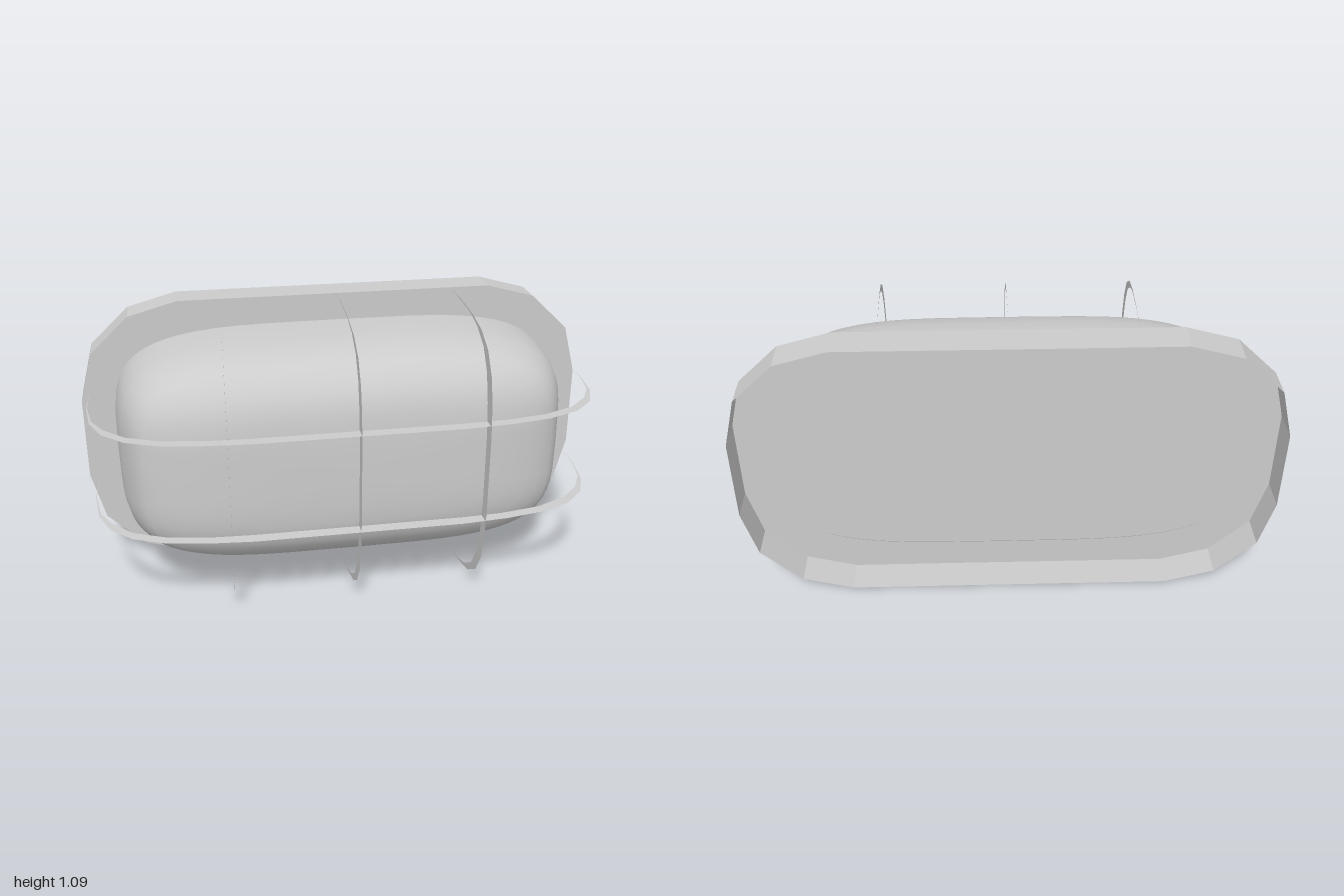
import * as THREE from 'three';

const CY = 0.548; // height of the lamp's centre line
const FRONT = -0.226; // z of the frame's front face
const BACK = -0.353; // z of the frame's open back
const material = new THREE.MeshStandardMaterial({ color: 0xcccccc });
const thin = new THREE.MeshStandardMaterial({ color: 0xcccccc, side: THREE.DoubleSide });

// Soft rounded-rectangle outline, anticlockwise seen from the front
function outline(hx, hy, count = 64) {
  const soft = (v) => Math.sign(v) * Math.sqrt(Math.abs(v));
  return Array.from({ length: count }, (_, i) => {
    const a = (i / count) * Math.PI * 2;
    return new THREE.Vector2(hx * soft(Math.cos(a)), hy * soft(Math.sin(a)));
  });
}

function add(group, name, geometry, mat) {
  const mesh = new THREE.Mesh(geometry, mat);
  mesh.name = name;
  group.add(mesh);
}

function build(positions, index) {
  const geometry = new THREE.BufferGeometry();
  geometry.setAttribute('position', new THREE.Float32BufferAttribute(positions, 3));
  geometry.setIndex(index);
  return geometry;
}

// Dome: outlines stacked along z, shrinking towards the front
function domeGeometry() {
  const sections = [ // z, half width, half height
    [-0.226, 0.875, 0.438], [-0.14, 0.873, 0.438],
    [-0.05, 0.865, 0.433], [0.02, 0.852, 0.426], [0.09, 0.825, 0.407],
    [0.13, 0.803, 0.386], [0.16, 0.777, 0.361], [0.185, 0.73, 0.33],
    [0.205, 0.675, 0.3], [0.22, 0.6, 0.262], [0.231, 0.51, 0.215],
    [0.236, 0.4, 0.15], [0.238, 0.2, 0.075],
  ];
  const n = 64;
  const positions = [];
  const index = [];
  for (const [z, hx, hy] of sections)
    for (const p of outline(hx, hy, n)) positions.push(p.x, p.y, z);
  for (let r = 0; r < sections.length - 1; r++)
    for (let i = 0; i < n; i++) {
      const a = r * n + i, b = r * n + ((i + 1) % n);
      index.push(a, b, b + n, a, b + n, a + n);
    }
  const tip = positions.length / 3;
  positions.push(0, 0, 0.238);
  for (let i = 0; i < n; i++) index.push(tip - n + i, tip - n + ((i + 1) % n), tip);
  const geometry = build(positions, index);
  geometry.computeVertexNormals();
  return geometry;
}

// Corners of the frame, anticlockwise
function frameCorners() {
  const quarter = [[1, 0.16], [0.95, 0.35], [0.8, 0.492], [0.61, 0.544]];
  const flip = (sx, sy) => quarter.map(([x, y]) => new THREE.Vector2(x * sx, y * sy));
  return [...flip(1, 1), ...flip(-1, 1).reverse(), ...flip(-1, -1), ...flip(1, -1).reverse()];
}

// Flat front of the frame with a rounded opening
function frameFaceGeometry() {
  const shape = new THREE.Shape(frameCorners());
  shape.holes.push(new THREE.Path(outline(0.866, 0.43).reverse()));
  return new THREE.ShapeGeometry(shape).translate(0, 0, FRONT);
}

// Thin faceted wall running back from the frame's edge
function frameWallGeometry() {
  const corners = frameCorners();
  const positions = [];
  const index = [];
  corners.forEach((a, i) => {
    const b = corners[(i + 1) % corners.length];
    const k = i * 4;
    positions.push(a.x, a.y, BACK, b.x, b.y, BACK, b.x, b.y, FRONT, a.x, a.y, FRONT);
    index.push(k, k + 1, k + 2, k, k + 2, k + 3);
  });
  const geometry = build(positions, index);
  geometry.computeVertexNormals();
  return geometry;
}

// Flat guard strip lying in the x-z plane, tapering to both ends
function stripGeometry(outer, inner) {
  const mirror = (pts) => pts.map(([a, z]) => [-a, z]);
  const points = [...outer, ...mirror(outer).reverse(),
    ...mirror(inner).slice(1), ...inner.slice(1).reverse()];
  const shape = new THREE.Shape(points.map(([a, z]) => new THREE.Vector2(a, z)));
  return new THREE.ShapeGeometry(shape).rotateX(Math.PI / 2);
}

// Offset a strip sideways, leaning outwards towards the front
function lean(geometry, axis, offset, slope) {
  const p = geometry.attributes.position;
  for (let i = 0; i < p.count; i++) p.setComponent(i, axis, offset + slope * p.getZ(i));
  geometry.computeVertexNormals();
  return geometry;
}

export function createModel() {
  const lamp = new THREE.Group();
  lamp.name = 'bulkheadLamp';
  const body = new THREE.Group();
  body.name = 'body';
  body.position.y = CY;
  lamp.add(body);

  add(body, 'frameFace', frameFaceGeometry(), thin);
  add(body, 'frameWall', frameWallGeometry(), thin);
  add(body, 'dome', domeGeometry(), material);

  // Plate closing the dome, just inside the frame's opening
  const plate = new THREE.ShapeGeometry(new THREE.Shape(outline(0.874, 0.437)));
  add(body, 'backPlate', plate.rotateY(Math.PI).translate(0, 0, -0.216), material);

  // Guard strips: half profiles as [distance from centre, z], end to front
  const longOuter = [[0.966, FRONT], [0.975, -0.09], [0.957, 0.07], [0.912, 0.18],
    [0.83, 0.262], [0.71, 0.312], [0.56, 0.338], [0.39, 0.352]];
  const longInner = [[0.966, FRONT], [0.972, -0.09], [0.95, 0.05], [0.905, 0.138],
    [0.825, 0.218], [0.705, 0.27], [0.55, 0.296], [0.39, 0.304]];
  const shortOuter = [[0.545, FRONT], [0.547, -0.09], [0.532, 0.07], [0.507, 0.18],
    [0.455, 0.265], [0.372, 0.318], [0.272, 0.343], [0.15, 0.353]];
  const shortInner = [[0.545, FRONT], [0.543, -0.09], [0.528, 0.05], [0.503, 0.135],
    [0.452, 0.215], [0.372, 0.265], [0.265, 0.292], [0.14, 0.305]];

  for (const s of [-1, 1]) {
    const strip = lean(stripGeometry(longOuter, longInner), 1, s * 0.191, s * 0.01);
    add(body, s > 0 ? 'upperGuardStrip' : 'lowerGuardStrip', strip, thin);
  }
  for (const s of [-1, 0, 1]) {
    const strip = stripGeometry(shortOuter, shortInner).rotateZ(Math.PI / 2);
    lean(strip, 0, s * 0.46, s * 0.04);
    add(body, ['rightGuardStrip', 'middleGuardStrip', 'leftGuardStrip'][s + 1], strip, thin);
  }
  return lamp;
}
